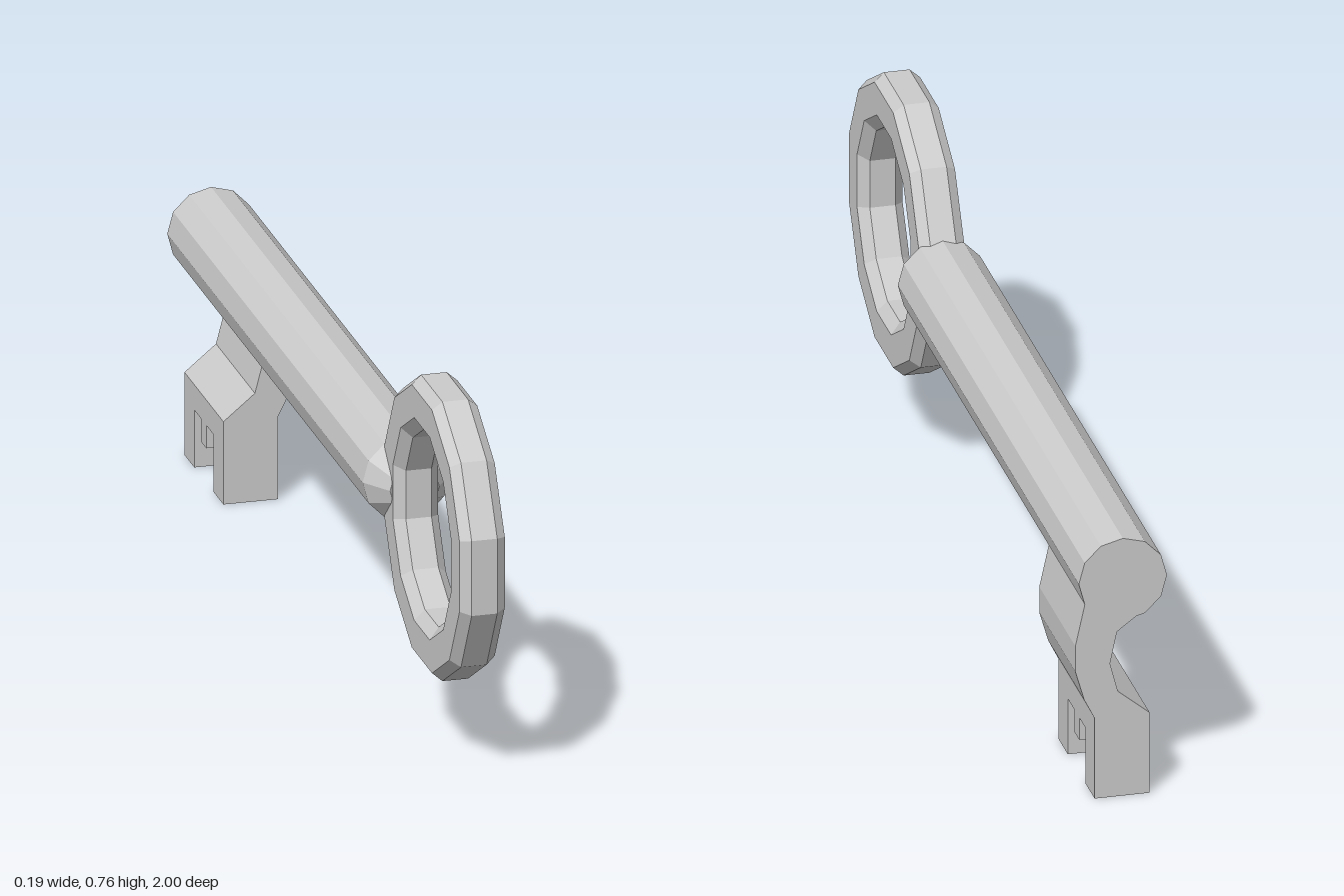
import * as THREE from 'three';

const CX = -0.004; // shared axis of bow and shaft
const CY = 0.466;

const toPoints = (list) => list.map(([x, y]) => new THREE.Vector2(x, y));

export function createModel() {
  const key = new THREE.Group();
  key.name = 'key';
  const material = new THREE.MeshStandardMaterial({ color: 0xcccccc, flatShading: true });

  const add = (name, geometry, x = 0, y = 0, z = 0) => {
    const mesh = new THREE.Mesh(geometry, material);
    mesh.name = name;
    mesh.position.set(x, y, z);
    key.add(mesh);
  };
  const extrude = (points, depth) =>
    new THREE.ExtrudeGeometry(new THREE.Shape(toPoints(points)), { depth, bevelEnabled: false });

  // Bow: twelve-sided ring with a chamfered section (apothem, half width)
  const section = [
    [0.212, -0.046], [0.275, -0.046], [0.292, -0.026], [0.292, 0.026],
    [0.275, 0.046], [0.212, 0.046], [0.189, 0.026], [0.189, -0.026], [0.212, -0.046],
  ].map(([r, w]) => [r / Math.cos(Math.PI / 12), w]);
  const bow = new THREE.LatheGeometry(toPoints(section), 12, Math.PI / 12);
  bow.rotateZ(Math.PI / 2);
  add('bow', bow, CX, CY, 0.708);

  // Shaft: twelve-sided rod, tapered where it enters the bow
  const rod = [[0, -1], [0.089, -1], [0.089, 0.43], [0.05, 0.49], [0, 0.49]];
  const shaft = new THREE.LatheGeometry(toPoints(rod), 12);
  shaft.rotateX(Math.PI / 2);
  add('shaft', shaft, CX, CY);

  // Curved web of the bit, sweeping sideways below the shaft
  const web = [
    [-0.058, 0.173], [0.053, 0.173], [0.074, 0.215], [0.092, 0.278], [0.092, 0.333],
    [0.073, 0.42], [0.04, 0.466], [-0.035, 0.44], [-0.035, 0.387],
    [0.008, 0.355], [0.022, 0.288], [0.006, 0.226],
  ];
  add('bitWeb', extrude(web, 0.285), 0, 0, -1);

  // Toothed lower block, outlined along the length of the key
  const teeth = [
    [0.715, 0], [0.788, 0], [0.788, 0.12], [0.84, 0.12], [0.84, 0.072], [0.88, 0.072],
    [0.88, 0.12], [0.928, 0.12], [0.928, 0], [1, 0], [1, 0.173], [0.715, 0.173],
  ];
  const block = extrude(teeth, 0.111);
  block.rotateY(Math.PI / 2);
  add('bitTeeth', block, -0.058);

  return key;
}
